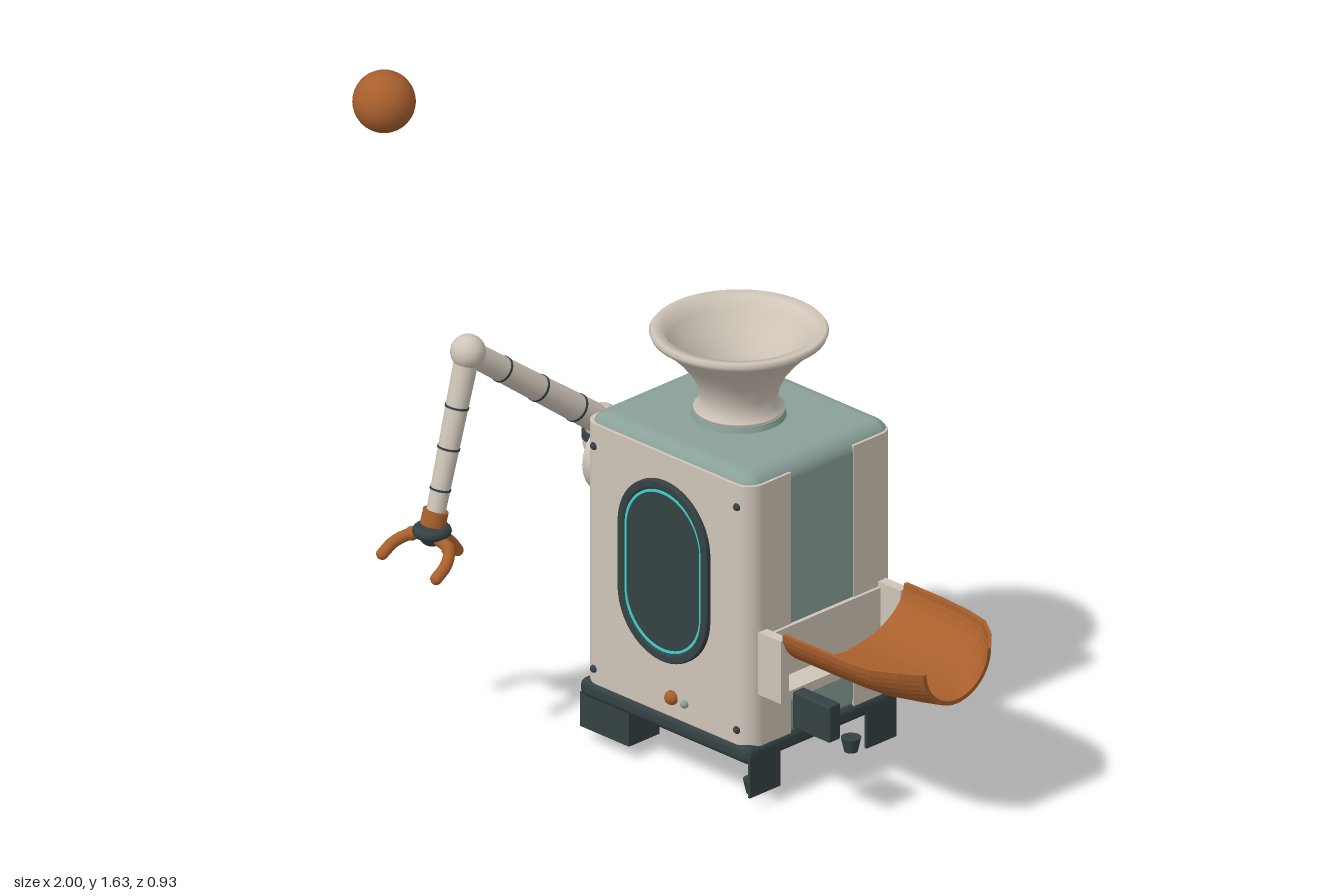
import * as THREE from 'three';
import { RoundedBoxGeometry } from 'three/addons/geometries/RoundedBoxGeometry.js';

const paint = (name, color, side = THREE.FrontSide) => {
  const m = new THREE.MeshStandardMaterial({ color, side });
  m.name = name;
  return m;
};
const V = (x, y, z) => new THREE.Vector3(x, y, z);

export function createModel() {
  const root = new THREE.Group();
  const cream = paint('cream', 0xcfc5b8, THREE.DoubleSide);
  const sage = paint('sage', 0x89a098);
  const dark = paint('charcoal', 0x354143);
  const copper = paint('copper', 0xa85f2c, THREE.DoubleSide);
  const cyan = paint('cyan', 0x3fd0cc);
  const CX = 0.195, CZ = -0.19;

  const add = (name, geo, mat, x = 0, y = 0, z = 0, parent = root) => {
    const m = new THREE.Mesh(geo, mat);
    m.name = name;
    m.position.set(x, y, z);
    parent.add(m);
    return m;
  };
  // Box given by its two extreme corners
  const box = (name, mat, x0, x1, y0, y1, z0, z1, r = 0) => {
    const s = [x1 - x0, y1 - y0, z1 - z0];
    const g = r ? new RoundedBoxGeometry(...s, 4, r) : new THREE.BoxGeometry(...s);
    return add(name, g, mat, (x0 + x1) / 2, (y0 + y1) / 2, (z0 + z1) / 2);
  };
  const ball = (name, mat, r, x, y, z) => add(name, new THREE.SphereGeometry(r, 32, 20), mat, x, y, z);
  // Round bar between two points
  const bar = (name, mat, a, b, ra, rb = ra) => {
    const d = b.clone().sub(a), c = a.clone().lerp(b, 0.5);
    const m = add(name, new THREE.CylinderGeometry(rb, ra, d.length(), 24), mat, c.x, c.y, c.z);
    m.quaternion.setFromUnitVectors(V(0, 1, 0), d.normalize());
    return m;
  };

  // Body core, with front and back shells wrapped round it
  box('bodyCore', sage, -0.108, 0.5, 0.15, 0.953, -0.463, 0.076, 0.05);
  const wrap = new THREE.Shape();
  const w = 0.308, d = 0.155, r = 0.05;
  wrap.moveTo(-w, 0).lineTo(w, 0).lineTo(w, d - r).absarc(w - r, d - r, r, 0, Math.PI / 2);
  wrap.lineTo(-w + r, d).absarc(-w + r, d - r, r, Math.PI / 2, Math.PI);
  wrap.lineTo(-w, 0);
  const wrapGeo = new THREE.ExtrudeGeometry(wrap, { depth: 0.75, bevelEnabled: false, curveSegments: 8 });
  add('frontShell', wrapGeo, cream, CX, 0.925, -0.075).rotation.x = Math.PI / 2;
  add('backShell', wrapGeo, cream, CX, 0.175, -0.305).rotation.x = -Math.PI / 2;
  box('shoulderSidePanel', sage, -0.118, -0.11, 0.18, 0.92, -0.41, 0.03);

  // Corner bolts
  for (const x of [-0.07, 0.457]) for (const y of [0.22, 0.862]) for (const z of [0.078, -0.458])
    ball('bolt', dark, 0.011, x, y, z);

  // Base, corner feet and side skirts
  box('base', dark, -0.12, 0.507, 0.13, 0.182, -0.468, 0.088, 0.02);
  for (let i = 0; i < 9; i++)
    box('undersideSlat', cream, 0.0, 0.42, 0.127, 0.131, -0.42 + i * 0.052, -0.395 + i * 0.052);
  for (const [z0, z1] of [[-0.03, 0.082], [-0.458, -0.348]]) {
    box('cornerFoot', dark, -0.118, 0.062, 0.04, 0.14, z0, z1);
    box('sideSkirt', dark, 0.5, 0.508, 0.04, 0.16, z0, z1);
  }
  for (const x of [-0.04, 0.428]) for (const z of [-0.01, -0.37])
    add('footPad', new THREE.CylinderGeometry(0.027, 0.018, 0.04, 20), dark, x, 0.02, z);

  // Oval window with a glowing outline
  const stadium = (hw, hh, P = THREE.Shape) => {
    const s = new P(), k = hh - hw;
    s.absarc(0, k, hw, 0, Math.PI, false);
    s.absarc(0, -k, hw, Math.PI, Math.PI * 2, false);
    s.closePath();
    return s;
  };
  const slab = (s, depth, bevel = 0) => new THREE.ExtrudeGeometry(s, {
    depth, curveSegments: 24, bevelEnabled: bevel > 0, bevelSize: bevel, bevelThickness: bevel, bevelSegments: 3 });
  const ring = (hw, hh, t) => {
    const s = stadium(hw, hh);
    s.holes.push(stadium(hw - t, hh - t, THREE.Path));
    return s;
  };
  add('windowPane', slab(stadium(0.15, 0.243), 0.01), dark, CX, 0.592, 0.078);
  add('windowFrame', slab(ring(0.16, 0.253, 0.015), 0.012, 0.005), dark, CX, 0.592, 0.078);
  add('windowGlow', slab(ring(0.142, 0.23, 0.007), 0.004), cyan, CX, 0.592, 0.087);
  ball('mainButton', copper, 0.02, 0.22, 0.235, 0.082);
  ball('smallButton', sage, 0.012, 0.267, 0.232, 0.082);

  // Hopper
  add('hopperCollar', new THREE.CylinderGeometry(0.12, 0.125, 0.018, 48), sage, CX, 0.96, CZ);
  const hopper = [[0.09, 0.955], [0.115, 0.968], [0.12, 0.978], [0.102, 0.988], [0.105, 1.03], [0.125, 1.075],
    [0.16, 1.12], [0.2, 1.16], [0.23, 1.182], [0.235, 1.195], [0.228, 1.204], [0.2, 1.2], [0.185, 1.17],
    [0.15, 1.125], [0.11, 1.07], [0.092, 1.02], [0.09, 0.955]].map(p => new THREE.Vector2(...p));
  add('hopper', new THREE.LatheGeometry(hopper, 48), cream, CX, 0, CZ);

  // Arm: shoulder drum, banded limbs, ball joints
  bar('shoulderDrum', cream, V(-0.1, 0.68, -0.195), V(-0.283, 0.68, -0.195), 0.105);
  const shoulder = V(-0.312, 0.76, -0.195), elbow = V(-0.37, 1.088, 0.243), wrist = V(-0.38, 0.63, 0.36);
  ball('shoulderBall', cream, 0.055, -0.315, 0.705, -0.2);
  add('shoulderBand', new THREE.CylinderGeometry(0.057, 0.057, 0.022, 28), dark, -0.315, 0.725, -0.2);
  ball('shoulderCap', cream, 0.05, -0.313, 0.76, -0.195);
  ball('elbowBall', cream, 0.047, elbow.x, elbow.y, elbow.z);
  const limb = (name, a, b, ra, rb, bands) => {
    bar(name, cream, a, b, ra, rb);
    for (const t of bands) {
      const q = ra + (rb - ra) * t + 0.002;
      bar(name + 'Band', dark, a.clone().lerp(b, t - 0.006), a.clone().lerp(b, t + 0.006), q);
    }
  };
  limb('upperArm', shoulder, elbow, 0.039, 0.033, [0.2, 0.48, 0.75]);
  limb('forearm', elbow, wrist, 0.033, 0.025, [0.32, 0.56, 0.8]);

  // Hand with three curved fingers
  bar('wristCuff', copper, V(-0.379, 0.665, 0.352), V(-0.381, 0.625, 0.362), 0.034);
  ball('palm', dark, 0.036, -0.381, 0.603, 0.365);
  add('palmRing', new THREE.TorusGeometry(0.036, 0.016, 12, 28), dark, -0.381, 0.61, 0.365).rotation.x = Math.PI / 2;
  const fingers = [
    [V(-0.4, 0.595, 0.37), V(-0.45, 0.58, 0.37), V(-0.485, 0.555, 0.4), V(-0.494, 0.528, 0.435)],
    [V(-0.36, 0.595, 0.37), V(-0.315, 0.58, 0.37), V(-0.288, 0.555, 0.405), V(-0.283, 0.53, 0.447)],
    [V(-0.378, 0.595, 0.355), V(-0.375, 0.58, 0.325), V(-0.373, 0.55, 0.295), V(-0.372, 0.528, 0.28)]];
  for (const pts of fingers) {
    add('finger', new THREE.TubeGeometry(new THREE.CatmullRomCurve3(pts), 16, 0.016, 12), copper);
    ball('fingertip', copper, 0.016, ...pts[3].toArray());
    ball('knuckle', copper, 0.019, ...pts[1].toArray());
  }

  // Floating ball
  ball('floatingBall', copper, 0.083, -0.917, 1.547, 0.006);

  // Chute bracket
  box('bracketBack', cream, 0.5, 0.512, 0.33, 0.49, -0.42, 0.04);
  box('bracketBar', cream, 0.5, 0.585, 0.325, 0.352, -0.42, 0.04);
  for (const z of [-0.425, 0.015]) box('bracketSide', cream, 0.5, 0.585, 0.325, 0.505, z, z + 0.03);

  // Scoop chute: half-oval shell that narrows toward its tip
  const stations = [[0.585, 0.23, 0.522], [0.72, 0.23, 0.522], [0.82, 0.226, 0.52], [0.89, 0.215, 0.518],
    [0.955, 0.172, 0.515], [1.0, 0.125, 0.508]];
  const N = 24, pos = [], idx = [];
  const loop = 2 * (N + 1);
  for (const [x, hw, top] of stations) for (let k = 0; k < loop; k++) {
    const inner = k > N, t = inner ? 0.012 : 0;
    const a = Math.PI * (inner ? loop - 1 - k : k) / N;
    pos.push(x, top - (top - 0.388 - t) * Math.sin(a), CZ + (hw - t) * Math.cos(a));
  }
  for (let i = 0; i < stations.length - 1; i++) for (let k = 0; k < loop; k++) {
    const a = i * loop + k, b = i * loop + (k + 1) % loop;
    idx.push(a, b, a + loop, b, b + loop, a + loop);
  }
  for (const e of [0, (stations.length - 1) * loop]) for (let k = 0; k < N; k++) {
    const a = e + k, b = e + k + 1, c = e + loop - 1 - k, f = e + loop - 2 - k;
    if (e) idx.push(a, b, c, b, f, c);
    else idx.push(a, c, b, b, c, f);
  }
  const scoop = new THREE.BufferGeometry();
  scoop.setAttribute('position', new THREE.Float32BufferAttribute(pos, 3));
  // Faces run outward: flip the winding of the loops
  for (let i = 0; i < idx.length; i += 3) [idx[i + 1], idx[i + 2]] = [idx[i + 2], idx[i + 1]];
  scoop.setIndex(idx);
  const scoopGeo = scoop.toNonIndexed();
  scoopGeo.computeVertexNormals();
  add('chute', scoopGeo, copper);

  // Blocks under the chute
  for (const z of [0, -0.378]) box('chuteBlock', dark, 0.602, 0.74, 0.255, 0.36, z - 0.021, z + 0.021, 0.006);

  return root;
}
